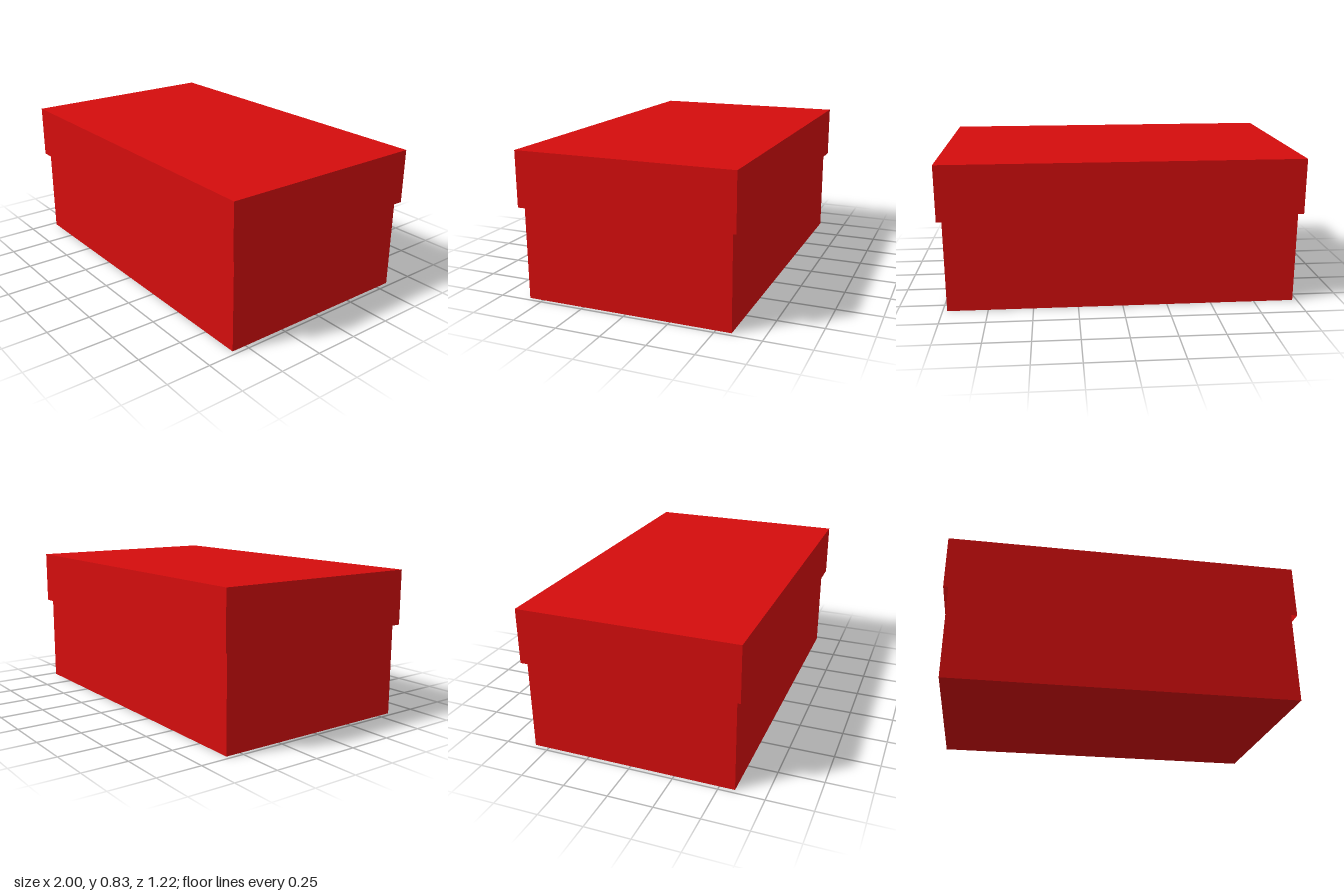
import * as THREE from 'three';

const PY = 2, NY = 3; // box face order: +x, -x, +y, -y, +z, -z

// Thin-walled box with one face left open
function openBox(name, width, depth, bottom, top, openFace, material) {
  const geometry = new THREE.BoxGeometry(width, top - bottom, depth);
  const index = Array.from(geometry.index.array);
  index.splice(openFace * 6, 6);
  geometry.setIndex(index);
  geometry.clearGroups();
  const mesh = new THREE.Mesh(geometry, material);
  mesh.name = name;
  mesh.position.y = (bottom + top) / 2;
  return mesh;
}

export function createModel() {
  const group = new THREE.Group();
  group.name = 'liddedBox';
  const red = new THREE.MeshStandardMaterial({ color: 0xd40d0d, side: THREE.DoubleSide });

  // Tray, open at the top and reaching up inside the lid
  group.add(openBox('boxBase', 1.95, 1.17, 0, 0.81, PY, red));

  // Slightly larger lid, open underneath
  group.add(openBox('lid', 2, 1.22, 0.52, 0.83, NY, red));

  return group;
}
